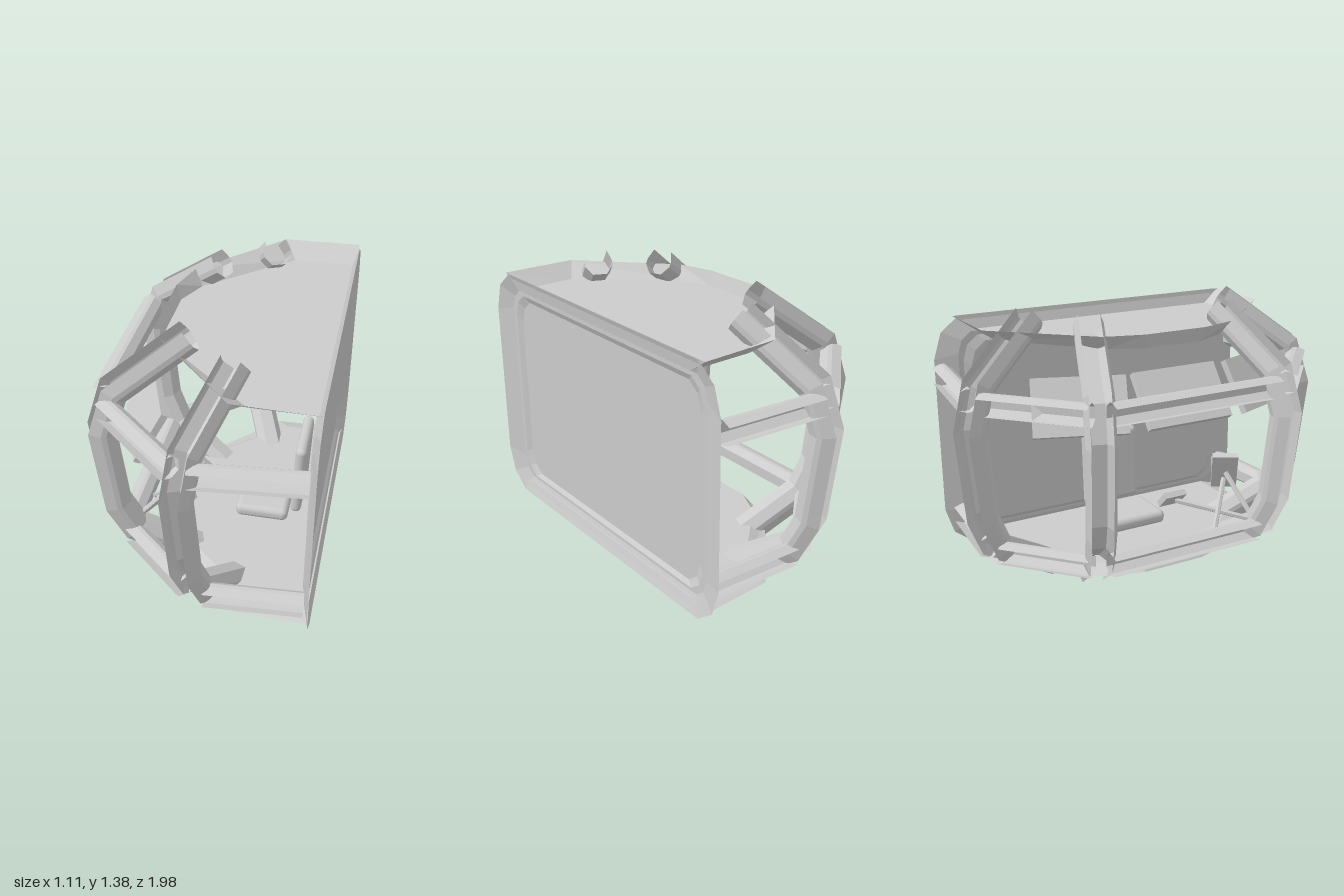
import * as THREE from 'three';
import { RoundedBoxGeometry } from 'three/addons/geometries/RoundedBoxGeometry.js';

const V = (x, y, z) => new THREE.Vector3(x, y, z);
const sheet = new THREE.MeshStandardMaterial({ color: 0xcccccc, flatShading: true, side: THREE.DoubleSide });
const solid = new THREE.MeshStandardMaterial({ color: 0xcccccc, flatShading: true });
const soft = new THREE.MeshStandardMaterial({ color: 0xcccccc });
const CENTRE = V(0.2, 0.65, 0);

// Skin a list of cross-sections; closed loops may be capped with a fan at the end
function loft(loops, closed = false, cap = false) {
  const pos = [];
  const tri = (...p) => p.forEach(v => pos.push(v.x, v.y, v.z));
  const n = loops[0].length;
  for (let i = 0; i + 1 < loops.length; i++) {
    const a = loops[i], b = loops[i + 1];
    for (let j = 0; j < (closed ? n : n - 1); j++) {
      const k = (j + 1) % n;
      tri(a[j], a[k], b[k]);
      tri(a[j], b[k], b[j]);
    }
  }
  if (cap) {
    const l = loops[loops.length - 1];
    const c = l.reduce((s, p) => s.add(p), V(0, 0, 0)).divideScalar(n);
    l.forEach((p, j) => tri(c, p, l[(j + 1) % n]));
  }
  const g = new THREE.BufferGeometry();
  g.setAttribute('position', new THREE.Float32BufferAttribute(pos, 3));
  g.computeVertexNormals();
  return g;
}

// Channel section open to the outside: [sideways, depth inward]
const SECTION = [[-0.05, 0], [-0.07, 0.055], [-0.07, 0.08], [-0.035, 0.125],
  [0.035, 0.125], [0.07, 0.08], [0.07, 0.055], [0.05, 0]];

// Sweep the channel along a path with mitred corners
function channel(path, side, scale = 1) {
  const normals = path.slice(1).map((p, i) => {
    const nrm = side.clone().cross(p.clone().sub(path[i])).normalize();
    return nrm.dot(CENTRE.clone().sub(p)) < 0 ? nrm.negate() : nrm;
  });
  return loft(path.map((p, i) => {
    const a = normals[Math.max(i - 1, 0)], b = normals[Math.min(i, normals.length - 1)];
    const m = a.clone().add(b).divideScalar(1 + a.dot(b));
    return SECTION.map(([t, d]) => p.clone().addScaledVector(side, t * scale).addScaledVector(m, d * scale));
  }));
}

export function createModel() {
  const model = new THREE.Group();
  const add = (name, geo, mat = sheet, parent = model) => {
    const m = new THREE.Mesh(geo, mat);
    m.name = name;
    parent.add(m);
    return m;
  };

  // Curved ribs fanning around the open side
  const ribs = [[-0.04, -0.97, -0.41, -0.91], [-0.535, -0.515, -0.94, -0.34],
    [-0.535, 0.515, -0.94, 0.34], [-0.04, 0.97, -0.41, 0.91]];
  const ribAt = ([x, z, dx, dz], s, y) => V(x + dx * s, y, z + dz * s);
  const profile = [[-0.44, 1.385], [-0.075, 1.12], [0, 0.885], [-0.05, 0.425], [-0.14, 0.235], [-0.52, 0.005]];
  for (const r of ribs) {
    const side = V(-r[3], 0, r[2]).normalize();
    add('rib', channel(profile.map(([s, y]) => ribAt(r, s, y)), side));
  }

  // Cross bars between ribs and on to the back wall
  for (const [y, s, wallZ] of [[1.02, -0.01, 0.9], [0.265, -0.1, 0.84]]) {
    const stops = [V(0.6, y, -wallZ), ...ribs.map(r => ribAt(r, s, y)), V(0.6, y, wallZ)];
    for (let i = 0; i < 5; i++) {
      const a = stops[i], b = stops[i + 1];
      const u = b.clone().sub(a).normalize().multiplyScalar(0.07);
      add('crossBar', channel([a.clone().add(u), b.clone().sub(u)], V(0, 1, 0), 0.78));
    }
  }
  // Keep the bars from passing through the wall
  model.children.filter(m => m.name === 'crossBar').forEach(m => {
    const p = m.geometry.attributes.position;
    for (let i = 0; i < p.count; i++) p.setX(i, Math.min(p.getX(i), 0.545));
  });

  // Back wall: slanted outer frame, inner step and recessed panel
  const wallLoop = (x, hz, y0, y1, c) => {
    const pts = [];
    const corner = (sz, y, sy, flip) => {
      const p = [[hz, y - sy * c * 1.5], [hz - c * 0.3, y - sy * c * 0.55], [hz - c, y]];
      (flip ? p.reverse() : p).forEach(([z, yy]) => pts.push(V(x, yy, sz * z)));
    };
    corner(1, y1, 1, false);
    corner(-1, y1, 1, true);
    corner(-1, y0, -1, false);
    corner(1, y0, -1, true);
    return pts;
  };
  add('backWall', loft([
    wallLoop(0.555, 0.885, 0.08, 1.3, 0.14),
    wallLoop(0.525, 0.77, 0.17, 1.22, 0.07),
    wallLoop(0.525, 0.745, 0.185, 1.2, 0.08),
    wallLoop(0.51, 0.71, 0.205, 1.17, 0.08)], true, true));

  // Ceiling and floor trays with sloping rims
  const half = [[0.54, 0.68], [0.23, 0.68], [-0.18, 0.3], [-0.25, 0.145]];
  const rimHalf = [[0.55, 0.78], [0.17, 0.77], [-0.22, 0.35], [-0.275, 0.16]];
  const trayLoop = (h, y) => [...h.map(([x, z]) => V(x, y, z)),
    ...h.slice().reverse().map(([x, z]) => V(x, y, -z))];
  add('ceiling', loft([trayLoop(rimHalf, 1.3), trayLoop(half, 1.23)], true, true));
  add('floor', loft([trayLoop(rimHalf, 0.115), trayLoop(half, 0.15)], true, true));

  // Display panel: local x is width, y is height, z is the facing direction
  const panel = (name, w, h, at, across, up) => {
    const g = new THREE.Group();
    g.name = name;
    const X = across.clone().normalize();
    const Z = X.clone().cross(up).normalize();
    g.setRotationFromMatrix(new THREE.Matrix4().makeBasis(X, Z.clone().cross(X), Z));
    g.position.copy(at);
    add('panelBody', new THREE.BoxGeometry(w, h, 0.02), solid, g);
    for (const s of [-1, 1]) {
      add('bezel', new THREE.BoxGeometry(w, 0.015, 0.015), solid, g).position.set(0, s * (h / 2 - 0.0075), 0.014);
      add('bezel', new THREE.BoxGeometry(0.015, h - 0.03, 0.015), solid, g).position.set(s * (w / 2 - 0.0075), 0, 0.014);
    }
    model.add(g);
    return g;
  };

  // Three overhead displays leaning towards the seat
  panel('overheadDisplay', 0.44, 0.28, V(-0.335, 1.01, 0), V(0, 0, -1), V(0.17, 0.22, 0));
  for (const s of [-1, 1])
    panel('overheadDisplay', 0.43, 0.27, V(-0.265, 1.01, s * 0.49), V(s * -0.15, 0, -0.4), V(0.15, 0.22, s * 0.05));

  // Side display, keypad and their support struts
  panel('sideDisplay', 0.13, 0.22, V(-0.16, 0.505, 0.37), V(0.5, 0, -0.85), V(-0.5, 0.87, 0));
  const pad = panel('keypad', 0.12, 0.1, V(-0.11, 0.39, 0.09), V(0, 0, -1), V(-0.6, 0.6, 0));
  for (let i = 0; i < 9; i++)
    add('key', new THREE.BoxGeometry(0.018, 0.014, 0.015), solid, pad)
      .position.set(((i % 3) - 1) * 0.027, (Math.floor(i / 3) - 1) * 0.022, 0.014);
  const strut = (a, b) => add('strut', new THREE.TubeGeometry(new THREE.LineCurve3(a, b), 1, 0.014, 6), solid);
  strut(V(-0.36, 0.3, 0.42), V(-0.17, 0.5, 0.37));
  strut(V(-0.36, 0.3, 0.42), V(-0.12, 0.385, 0.1));
  strut(V(-0.33, 0.26, 0.2), V(-0.17, 0.47, 0.36));

  // Seat cushion and backrest
  add('seatCushion', new RoundedBoxGeometry(0.27, 0.07, 0.34, 4, 0.03), soft).position.set(0.22, 0.2, 0);
  const back = add('backrest', new RoundedBoxGeometry(0.055, 0.4, 0.32, 4, 0.027), soft);
  back.position.set(0.4, 0.43, 0);
  back.rotation.z = -0.04;

  return model;
}
